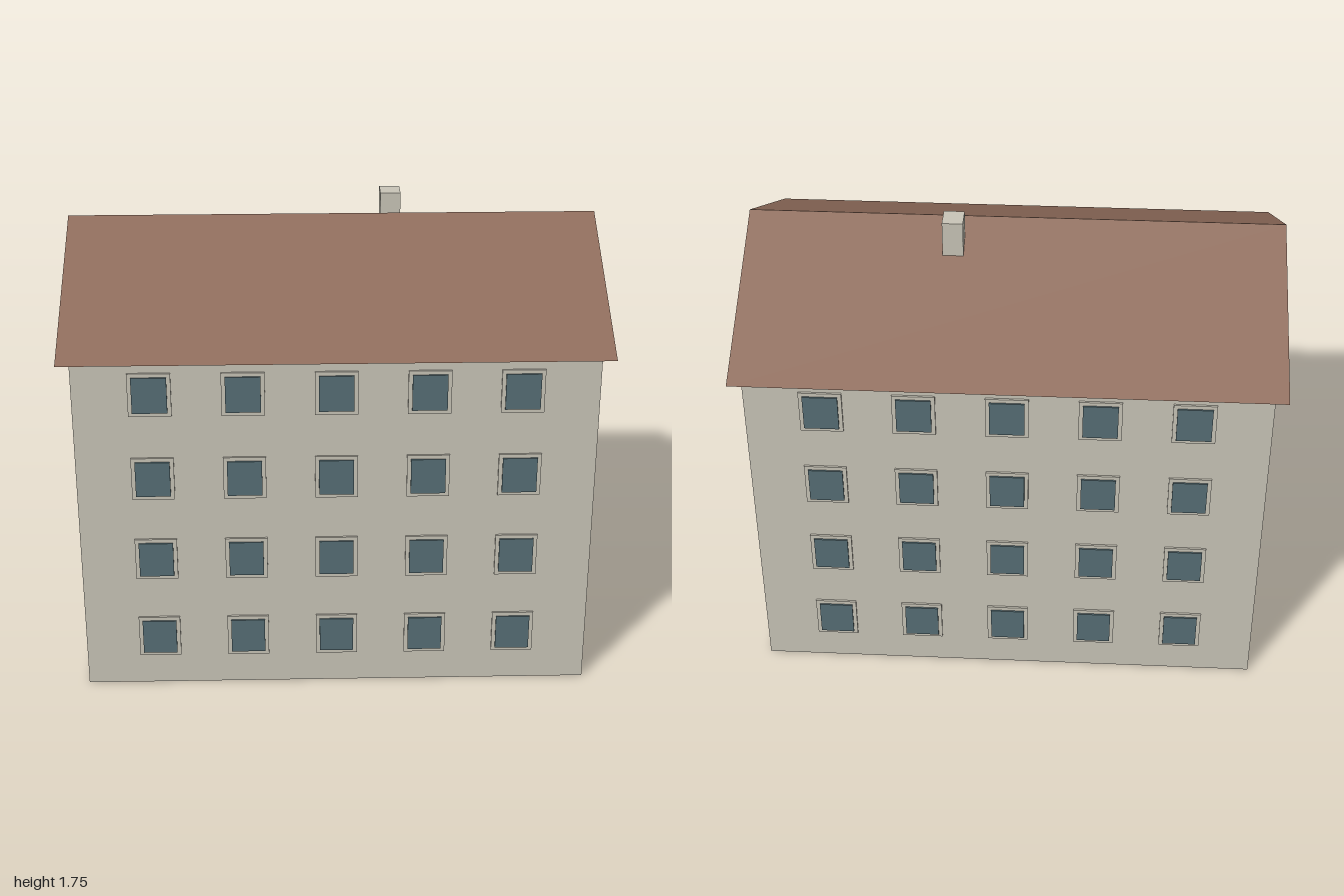
import * as THREE from 'three';

const WALL_X = 0.955, WALL_Z = 0.617, EAVE_Y = 1.351, RIDGE_Y = 1.689;
const ROOF_X = 1, ROOF_Z = 0.662;

function material(name, color, side = THREE.FrontSide) {
  const m = new THREE.MeshStandardMaterial({ color, side });
  m.name = name;
  return m;
}

function addPart(parent, name, geometry, mat, x = 0, y = 0, z = 0) {
  const mesh = new THREE.Mesh(geometry, mat);
  mesh.name = name;
  mesh.position.set(x, y, z);
  parent.add(mesh);
  return mesh;
}

export function createModel() {
  const house = new THREE.Group();
  house.name = 'apartmentHouse';
  const plaster = material('plaster', 0xc8c4b7);
  const roofTile = material('roofTile', 0x8d6b5a, THREE.DoubleSide);
  const glass = material('glass', 0x566e75);

  // Walls: gabled end profile extruded along x
  const gable = new THREE.Shape();
  gable.moveTo(-WALL_Z, 0);
  gable.lineTo(WALL_Z, 0);
  gable.lineTo(WALL_Z, EAVE_Y);
  gable.lineTo(0, RIDGE_Y - 0.003);
  gable.lineTo(-WALL_Z, EAVE_Y);
  gable.closePath();
  const walls = new THREE.ExtrudeGeometry(gable, { depth: WALL_X * 2, bevelEnabled: false });
  walls.translate(0, 0, -WALL_X).rotateY(Math.PI / 2);
  addPart(house, 'walls', walls, plaster);

  // Roof: two thin sheets meeting at the ridge, overhanging on every side
  const drop = RIDGE_Y - EAVE_Y;
  const slope = new THREE.PlaneGeometry(ROOF_X * 2, Math.hypot(ROOF_Z, drop));
  slope.rotateX(-Math.atan2(ROOF_Z, drop));
  slope.translate(0, EAVE_Y + drop / 2, ROOF_Z / 2);
  addPart(house, 'frontRoof', slope, roofTile);
  addPart(house, 'backRoof', slope, roofTile).rotation.y = Math.PI;

  // Chimney on the back slope
  addPart(house, 'chimney', new THREE.BoxGeometry(0.077, 0.195, 0.09), plaster, 0.225, 1.648, -0.111);

  // Windows: raised surround with a pane standing just proud of it
  const surround = new THREE.BoxGeometry(0.157, 0.168, 0.016);
  const pane = new THREE.BoxGeometry(0.128, 0.139, 0.008);
  for (const side of [1, -1]) {
    const facade = new THREE.Group();
    facade.name = side > 0 ? 'frontWindows' : 'backWindows';
    facade.rotation.y = side > 0 ? 0 : Math.PI;
    for (let row = 0; row < 4; row++) {
      for (let col = -2; col <= 2; col++) {
        const x = col * 0.337, y = 0.209 + row * 0.337;
        addPart(facade, 'windowSurround', surround, plaster, x, y, WALL_Z);
        addPart(facade, 'windowPane', pane, glass, x, y, WALL_Z + 0.01);
      }
    }
    house.add(facade);
  }
  return house;
}
